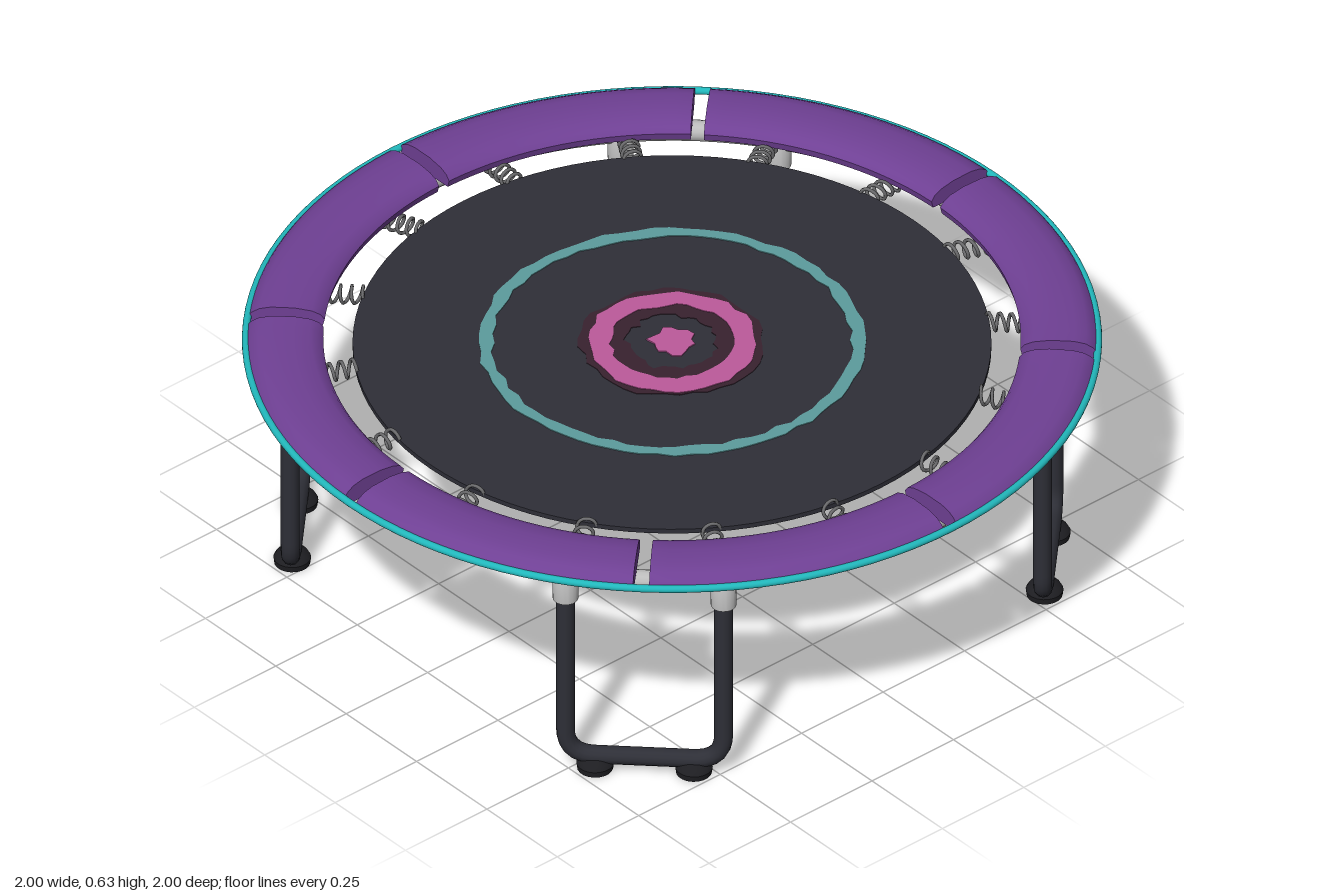
import * as THREE from 'three';
import { toCreasedNormals } from 'three/addons/utils/BufferGeometryUtils.js';

const mat = (name, color, side = THREE.FrontSide) => {
  const m = new THREE.MeshStandardMaterial({ color, side });
  m.name = name;
  return m;
};

export function createModel() {
  const purple = mat('purple vinyl', 0x6f4094, THREE.DoubleSide);
  const trim = mat('teal piping', 0x22b8bc);
  const fabric = mat('charcoal fabric', 0x2e2e37);
  const teal = mat('muted teal print', 0x5c9c9d);
  const pink = mat('pink print', 0xbd5a9b);
  const plum = mat('plum print', 0x38222f);
  const steel = mat('light steel', 0xbcbcbc);
  const legPaint = mat('dark leg paint', 0x2e2f37);
  const rubber = mat('black rubber', 0x1e1e22);
  const springSteel = mat('spring steel', 0x6c6c6e);

  const model = new THREE.Group();
  model.name = 'trampoline';
  const add = (parent, name, geometry, material, x = 0, y = 0, z = 0) => {
    const mesh = new THREE.Mesh(geometry, material);
    mesh.name = name;
    mesh.position.set(x, y, z);
    parent.add(mesh);
    return mesh;
  };
  let seed = 7;
  const random = () => (seed = (seed * 16807) % 2147483647) / 2147483647;

  // Round frame tube and the piping around the pads
  const hoop = (name, radius, tube, y, material) =>
    add(model, name, new THREE.TorusGeometry(radius, tube, 14, 112).rotateX(Math.PI / 2), material, 0, y);
  hoop('frameRing', 0.894, 0.025, 0.555, steel);
  hoop('padPiping', 0.99, 0.009, 0.6, trim);

  // Eight cushioned pads with closed ends
  const section = [
    [0.815, 0.585], [0.96, 0.58], [0.982, 0.588], [0.99, 0.6], [0.98, 0.614], [0.962, 0.625],
    [0.935, 0.631], [0.88, 0.632], [0.84, 0.626], [0.82, 0.617], [0.81, 0.604], [0.815, 0.585],
  ].map(([r, y]) => new THREE.Vector2(r, y));
  const step = Math.PI / 4, gap = 0.038;
  for (let i = 0; i < 8; i++) {
    const start = i * step + gap / 2, sweep = step - gap;
    const pad = new THREE.Group();
    pad.name = 'pad';
    model.add(pad);
    add(pad, 'padCushion', toCreasedNormals(new THREE.LatheGeometry(section, 16, start, sweep), 0.8), purple);
    for (const phi of [start, start + sweep]) {
      const end = new THREE.ShapeGeometry(new THREE.Shape(section.slice(0, -1)));
      add(pad, 'padEnd', end.rotateY(phi - Math.PI / 2), purple);
    }
  }

  // Jumping mat
  const matY = 0.586;
  add(model, 'jumpingMat', new THREE.CylinderGeometry(0.742, 0.742, 0.012, 96), fabric, 0, matY);

  // Rough-edged printed target, showing on both faces of the mat
  const roughLoop = (radius, jitter, count) => Array.from({ length: count }, (_, i) => {
    const a = (i / count) * Math.PI * 2, r = radius + (random() - 0.5) * jitter;
    return new THREE.Vector2(r * Math.cos(a), r * Math.sin(a));
  });
  const print = (name, inner, outer, jitter, count, thickness, material) => {
    const shape = new THREE.Shape(roughLoop(outer, jitter, count));
    if (inner) shape.holes.push(new THREE.Path(roughLoop(inner, jitter, count)));
    const geometry = new THREE.ExtrudeGeometry(shape, { depth: thickness, bevelEnabled: false });
    geometry.translate(0, 0, -thickness / 2).rotateX(-Math.PI / 2);
    add(model, name, geometry, material, 0, matY);
  };
  print('outerTargetRing', 0.418, 0.449, 0.012, 72, 0.016, teal);
  print('targetHalo', 0.105, 0.212, 0.02, 40, 0.015, plum);
  print('innerTargetRing', 0.143, 0.197, 0.014, 40, 0.018, pink);
  print('targetCentre', 0, 0.052, 0.022, 18, 0.018, pink);

  // Sixteen coil springs between mat and frame
  const coil = [];
  const turns = 5, perTurn = 10;
  for (let i = 0; i <= turns * perTurn; i++) {
    const t = i / (turns * perTurn), a = t * turns * Math.PI * 2;
    coil.push(new THREE.Vector3(
      0.022 * Math.cos(a), 0.586 - 0.02 * t + 0.02 * Math.sin(a), 0.738 + 0.135 * t));
  }
  const springGeometry = new THREE.TubeGeometry(new THREE.CatmullRomCurve3(coil), 100, 0.0045, 5);
  for (let i = 0; i < 16; i++) {
    add(model, 'spring', springGeometry, springSteel).rotation.y = (i + 0.5) * Math.PI / 8;
  }

  // Four U-shaped legs with sockets and rubber feet
  const half = 0.184, low = 0.037, bend = 0.07;
  const v = (x, y) => new THREE.Vector3(x, y, 0);
  const path = new THREE.CurvePath();
  path.add(new THREE.LineCurve3(v(-half, 0.52), v(-half, low + bend)));
  path.add(new THREE.QuadraticBezierCurve3(v(-half, low + bend), v(-half, low), v(-half + bend, low)));
  path.add(new THREE.LineCurve3(v(-half + bend, low), v(half - bend, low)));
  path.add(new THREE.QuadraticBezierCurve3(v(half - bend, low), v(half, low), v(half, low + bend)));
  path.add(new THREE.LineCurve3(v(half, low + bend), v(half, 0.52)));
  const legGeometry = new THREE.TubeGeometry(path, 72, 0.022, 12);
  const lathe = (points) => toCreasedNormals(
    new THREE.LatheGeometry(points.map(([r, y]) => new THREE.Vector2(r, y)), 20), 0.6);
  const socketGeometry = lathe([[0, 0.482], [0.03, 0.482], [0.031, 0.545], [0.022, 0.562], [0, 0.562]]);
  const footGeometry = lathe([[0, 0], [0.042, 0], [0.044, 0.015], [0.038, 0.026], [0.024, 0.034], [0, 0.034]]);
  for (let i = 0; i < 4; i++) {
    const leg = new THREE.Group();
    leg.name = 'leg';
    leg.rotation.y = Math.PI / 4 + i * Math.PI / 2;
    model.add(leg);
    add(leg, 'legTube', legGeometry, legPaint, 0, 0, 0.876);
    for (const side of [-1, 1]) {
      add(leg, 'legSocket', socketGeometry, steel, side * half, 0, 0.876);
      add(leg, 'rubberFoot', footGeometry, rubber, side * 0.115, 0, 0.876);
    }
  }
  return model;
}
